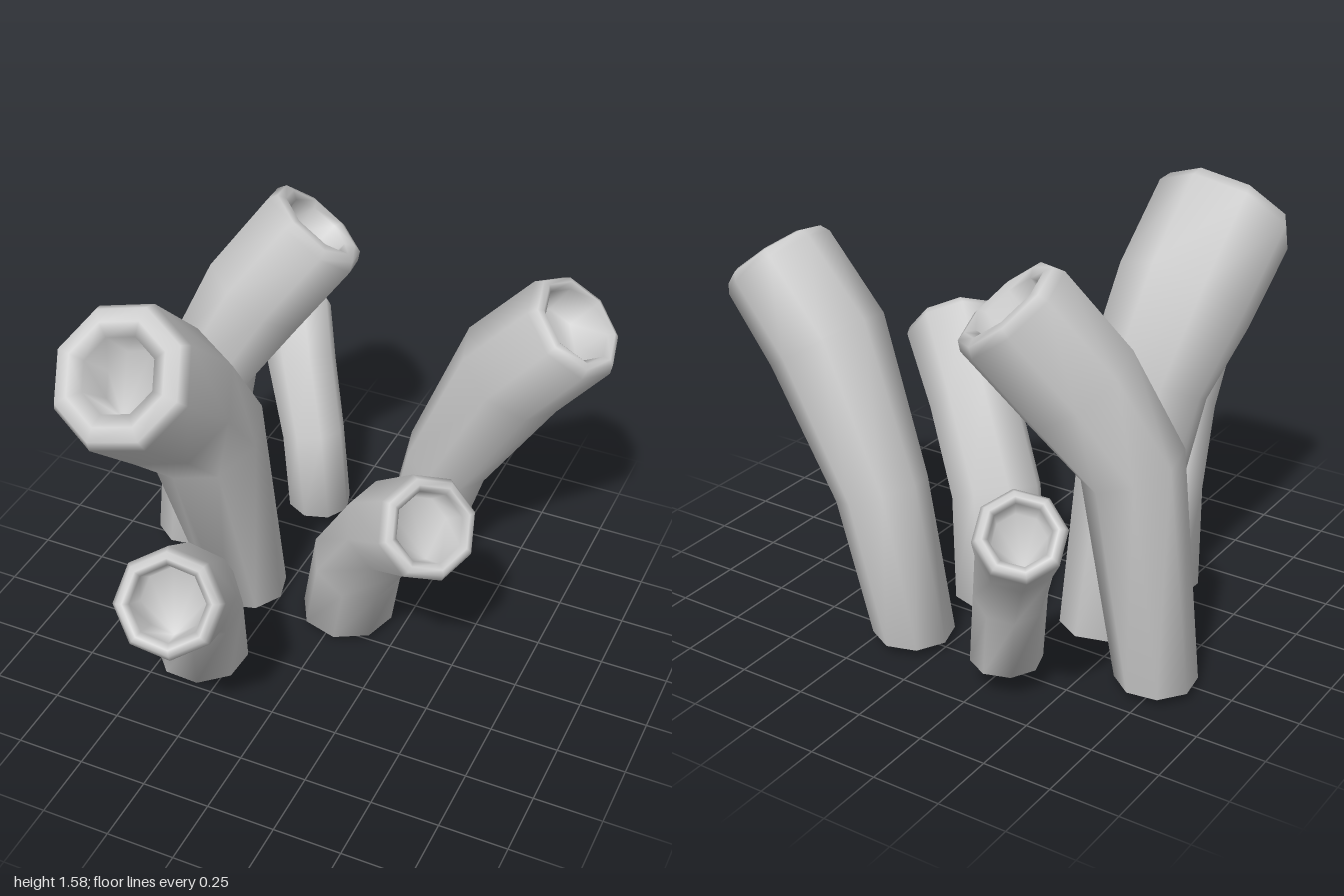
import * as THREE from 'three';

const SIDES = 8;

// Each tube: centre line points [x, y, z, radius] from foot to mouth, and mouth ratio
const TUBES = [
  { name: 'tallFrontTube', hole: 0.54, path: [[-0.385, 0.03, -0.075, 0.152], [-0.43, 0.9, 0.13, 0.22], [-0.455, 1.16, 0.335, 0.255], [-0.47, 1.405, 0.6, 0.252]] },
  { name: 'shortFrontTube', hole: 0.7, path: [[-0.375, 0.005, 0.32, 0.17], [-0.335, 0.35, 0.41, 0.165], [-0.25, 0.585, 0.63, 0.175], [-0.175, 0.765, 0.88, 0.183]] },
  { name: 'middleLeftTube', hole: 0.7, path: [[0.03, 0.035, -0.1, 0.175], [0.11, 0.38, -0.01, 0.17], [0.28, 0.665, 0.1, 0.17], [0.49, 0.86, 0.27, 0.18]] },
  { name: 'tallLeftTube', hole: 0.72, path: [[0.13, 0.04, -0.51, 0.145], [0.26, 0.56, -0.5, 0.165], [0.505, 1.05, -0.46, 0.215], [0.725, 1.305, -0.45, 0.2]] },
  { name: 'tallRightTube', hole: 0.62, path: [[-0.74, 0.04, -0.31, 0.143], [-0.65, 0.84, -0.35, 0.178], [-0.5, 1.12, -0.45, 0.213], [-0.31, 1.385, -0.565, 0.208]] },
  { name: 'shortBackTube', hole: 0.68, path: [[-0.31, 0.11, -0.58, 0.125], [-0.36, 0.4, -0.63, 0.125], [-0.46, 0.64, -0.74, 0.137], [-0.565, 0.8, -0.885, 0.147]] },
];

// Skins a list of rings { c, t, n, r } and closes both ends with flat fans
function skin(rings) {
  const pos = [], idx = [];
  rings.forEach(({ c, t, n, r }, i) => {
    const b = new THREE.Vector3().crossVectors(t, n);
    for (let j = 0; j < SIDES; j++) {
      const a = (j / SIDES) * Math.PI * 2;
      const p = c.clone().addScaledVector(n, Math.cos(a) * r).addScaledVector(b, Math.sin(a) * r);
      pos.push(p.x, p.y, p.z);
      if (i === 0) continue;
      const k = (j + 1) % SIDES, lo = (i - 1) * SIDES, hi = i * SIDES;
      idx.push(lo + j, lo + k, hi + k, lo + j, hi + k, hi + j);
    }
  });
  const end = (rings.length - 1) * SIDES;
  for (let j = 1; j < SIDES - 1; j++) {
    idx.push(0, j + 1, j, end, end + j, end + j + 1);
  }
  const g = new THREE.BufferGeometry();
  g.setAttribute('position', new THREE.Float32BufferAttribute(pos, 3));
  g.setIndex(idx);
  g.computeVertexNormals();
  return g;
}

function tubeGeometry({ path, hole }) {
  const pts = path.map(([x, y, z]) => new THREE.Vector3(x, y, z));
  const last = pts.length - 1;
  const lean = pts[last].clone().sub(pts[0]).setY(0).normalize();
  const dir = (a, b) => pts[b].clone().sub(pts[a]).normalize();

  const ring = (c, t, r) => ({ c, t, r, n: lean.clone().addScaledVector(t, -lean.dot(t)).normalize() });

  // Foot and outer wall
  const rings = [ring(pts[0], new THREE.Vector3(0, 1, 0), path[0][3])];
  for (let i = 1; i < last; i++) {
    rings.push(ring(pts[i], dir(i - 1, i).add(dir(i, i + 1)).normalize(), path[i][3]));
  }

  // Rounded lip, then a recess with a floor: [offset along axis, radius factor]
  const t = dir(last - 1, last), R = path[last][3];
  const lip = [[-0.1, 1.03], [0.06, 0.94], [0.1, (0.94 + hole) / 2], [0.02, hole], [-0.55, hole * 0.88]];
  for (const [d, f] of lip) {
    rings.push(ring(pts[last].clone().addScaledVector(t, d * R), t, f * R));
  }
  return skin(rings);
}

export function createModel() {
  const model = new THREE.Group();
  model.name = 'tubeCluster';
  const material = new THREE.MeshStandardMaterial({ color: 0xcccccc });
  for (const tube of TUBES) {
    const mesh = new THREE.Mesh(tubeGeometry(tube), material);
    mesh.name = tube.name;
    model.add(mesh);
  }
  return model;
}
